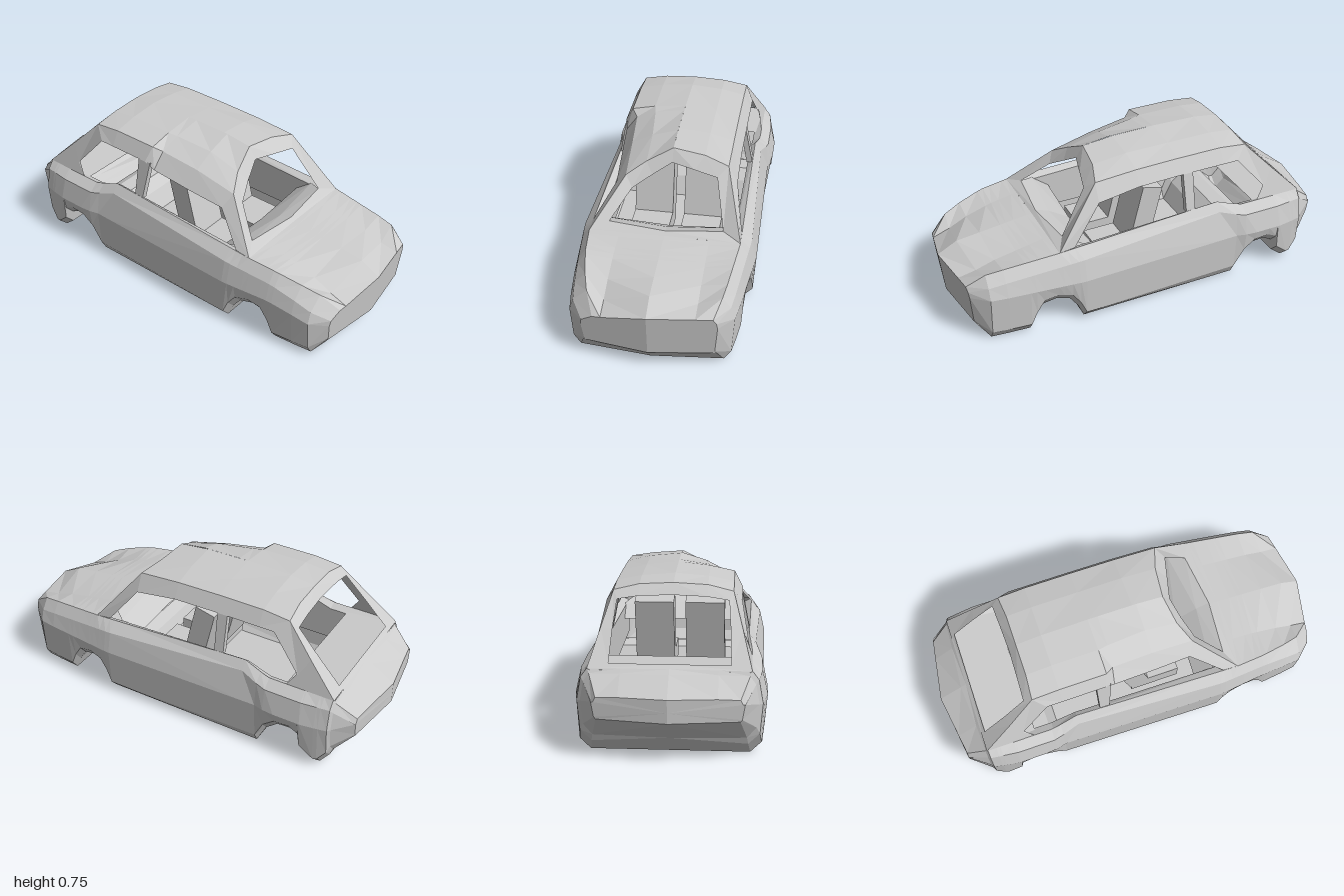
import * as THREE from 'three';

const material = new THREE.MeshStandardMaterial({ color: 0xcccccc, flatShading: true, side: THREE.DoubleSide });

// Piecewise linear curve through [x, value] knots
function curve(knots) {
  return (x) => {
    for (let i = 1; i < knots.length; i++) {
      const [x0, v0] = knots[i - 1], [x1, v1] = knots[i];
      if (x <= x1) return v0 + (v1 - v0) * Math.max(0, (x - x0) / (x1 - x0));
    }
    return knots[knots.length - 1][1];
  };
}

// Sheet of quads between rows of [x, y, z] points
function sheet(name, rows, flip = false) {
  const pos = [];
  for (let i = 0; i < rows.length - 1; i++) {
    for (let j = 0; j < rows[i].length - 1; j++) {
      const a = rows[i][j], b = rows[i + 1][j], c = rows[i + 1][j + 1], d = rows[i][j + 1];
      if (flip) pos.push(...a, ...c, ...b, ...a, ...d, ...c);
      else pos.push(...a, ...b, ...c, ...a, ...c, ...d);
    }
  }
  const geo = new THREE.BufferGeometry();
  geo.setAttribute('position', new THREE.Float32BufferAttribute(pos, 3));
  geo.computeVertexNormals();
  const mesh = new THREE.Mesh(geo, material);
  mesh.name = name;
  return mesh;
}

// Long curves of the lower body: heights and half widths along x
const bottomY = curve([[-1, 0.2], [-0.88, 0.09], [-0.8, 0], [-0.78, 0], [-0.71, 0.06], [-0.7, 0.13], [-0.65, 0.155],
  [-0.57, 0.15], [-0.51, 0.1], [-0.46, 0], [0.39, 0], [0.42, 0.07], [0.46, 0.125], [0.53, 0.145], [0.6, 0.13], [0.64, 0.07],
  [0.67, 0], [0.9, 0], [1, 0.09]]);
const bottomZ = curve([[-1, 0.32], [-0.88, 0.35], [-0.7, 0.385], [0.4, 0.385], [0.9, 0.345], [1, 0.315]]);
const sideZ = curve([[-1, 0.34], [-0.85, 0.42], [-0.72, 0.443], [-0.53, 0.443], [-0.46, 0.425], [0.4, 0.443], [0.9, 0.39], [1, 0.32]]);
const shoulderY = curve([[-1, 0.27], [-0.85, 0.36], [-0.5, 0.36], [-0.37, 0.4], [0.4, 0.36], [0.9, 0.31], [1, 0.28]]);
const shoulderZ = curve([[-1, 0.335], [-0.85, 0.4], [-0.7, 0.418], [-0.5, 0.418], [-0.37, 0.388], [0.4, 0.418], [0.9, 0.37], [1, 0.315]]);
const beltY = curve([[-1, 0.3], [-0.85, 0.4], [-0.5, 0.4], [-0.37, 0.445], [0.5, 0.405], [0.9, 0.365], [1, 0.305]]);
const beltZ = curve([[-1, 0.32], [-0.85, 0.37], [-0.5, 0.37], [-0.37, 0.355], [0.5, 0.37], [0.9, 0.33], [1, 0.3]]);
const innerY = curve([[-1, 0.307], [-0.85, 0.403], [0.5, 0.407], [0.78, 0.355], [0.9, 0.325], [1, 0.307]]);
const centreY = curve([[-1, 0.31], [-0.85, 0.405], [0.5, 0.41], [0.9, 0.362], [1, 0.31]]);
const endBend = curve([[0.84, 0], [0.9, 0.035], [1, 0.047]]);
const stations = [-1, -0.88, -0.85, -0.8, -0.78, -0.71, -0.7, -0.65, -0.57, -0.51, -0.46, -0.37,
  0.39, 0.42, 0.46, 0.5, 0.53, 0.6, 0.64, 0.67, 0.78, 0.9, 1];

// Half section of the lower body at x, from bottom centre to belt to top centre
function section(x, s) {
  const yb = bottomY(x);
  const dent = s > 0 ? Math.max(0, (x - 0.65) / 0.35) : 0; // sunken left front corner
  const pts = [
    [yb, 0], [yb, bottomZ(x)],
    [yb + (Math.abs(x) === 1 ? 0.01 : 0.05), sideZ(x) - 0.012],
    [Math.max(yb + 0.08, 0.25) - 0.06 * dent, sideZ(x)],
    [shoulderY(x) - 0.06 * dent, shoulderZ(x)],
    [beltY(x) - 0.05 * dent, beltZ(x) - 0.04 * dent],
    [innerY(x) - 0.048 * dent, 0.22],
    [centreY(x), 0],
  ];
  return pts.map(([y, z]) => {
    // Ends curve back towards the sides, and the nose leans back at its foot
    const lean = x === 1 ? Math.max(0, 0.31 - y) * 0.1 : 0;
    return [x - lean - Math.sign(x) * endBend(Math.abs(x)) * Math.min(1, z / 0.32), y, s * z];
  });
}

function lowerBody(s) {
  const g = new THREE.Group();
  g.name = s > 0 ? 'leftLowerBody' : 'rightLowerBody';
  const flip = s < 0;
  const rings = stations.map((x) => section(x, s));
  g.add(sheet('sideAndFloor', rings.map((r) => r.slice(0, 6)), flip));
  const pick = (test) => rings.filter((r, i) => test(stations[i])).map((r) => r.slice(5));
  g.add(sheet('bonnet', pick((x) => x >= 0.5), flip));
  g.add(sheet('tailDeck', pick((x) => x <= -0.85), flip));
  // End faces close the nose and tail
  for (const [name, x, y] of [['noseFace', 1, 0.2], ['tailFace', -1, 0.25]]) {
    const r = section(x, s);
    const centre = [x === 1 ? 0.989 : x, y, 0];
    g.add(sheet(name, [r, r.map(() => centre)], flip === (x > 0)));
  }
  return g;
}

// Roof, pillars and window frames of one side; the left front corner sags
function upperBody(s) {
  const g = new THREE.Group();
  g.name = s > 0 ? 'leftUpperBody' : 'rightUpperBody';
  const sag = s > 0;
  const side = (rows) => rows.map((row) => row.map(([x, y, z]) => [x, y, s * z]));
  const add = (name, rows, flip = false) => g.add(sheet(name, side(rows), flip !== (s < 0)));

  const roof = [
    [[-0.55, 0.73, 0], [-0.55, 0.722, 0.16], [-0.56, 0.695, 0.28], [-0.5, 0.635, 0.32]],
    [[-0.42, 0.748, 0], [-0.42, 0.735, 0.16], [-0.42, 0.71, 0.28], [-0.42, 0.635, 0.32]],
    [[-0.18, 0.753, 0], [-0.18, 0.735, 0.16], [-0.18, 0.71, 0.28], [-0.2, 0.635, 0.32]],
  ];
  if (sag) roof.push(
    [[-0.13, 0.753, 0], [-0.13, 0.73, 0.15], [-0.14, 0.685, 0.25], [-0.15, 0.6, 0.31]],
    [[0.07, 0.75, 0], [0.07, 0.71, 0.13], [0.07, 0.655, 0.235], [0.07, 0.565, 0.295]],
    [[0.21, 0.732, 0], [0.24, 0.662, 0.13], [0.29, 0.605, 0.225], [0.26, 0.54, 0.28]]);
  else roof.push(
    [[0.05, 0.75, 0], [0.05, 0.735, 0.16], [0.05, 0.705, 0.28], [0.05, 0.63, 0.32]],
    [[0.21, 0.732, 0], [0.23, 0.716, 0.16], [0.27, 0.69, 0.28], [0.27, 0.6, 0.325]]);
  add('roof', roof);

  // Windscreen frame: header, front pillar, cowl
  const front = roof[roof.length - 1];
  const inner = sag ? [0.32, 0.55, 0.19] : [0.31, 0.645, 0.23];
  const base = [0.45, 0.432, 0.28];
  const corner = [0.5, 0.405, 0.37];
  add('windscreenHeader', [
    [front[0], front[1], front[2]],
    [[0.25, 0.672, 0], [0.28, (0.672 + inner[1]) / 2, inner[2] / 2], inner],
  ]);
  add('frontPillar', [[front[2], inner], [corner, base]], true);
  add('frontPillarSide', [[front[3], front[2]], [[0.42, 0.412, 0.368], corner]], true);
  add('cowl', [[[0.48, 0.425, 0], base], [[0.5, 0.41, 0], corner]]);
  add('dashboard', [
    [[0.3, 0.33, 0], [0.28, 0.33, 0.335]],
    [[0.41, 0.4, 0], [0.37, 0.4, 0.335]],
    [[0.48, 0.425, 0], base],
  ]);

  // Rear quarter and tailgate frame around the openings
  const edge = [[-0.56, 0.695, 0.28], [-0.7, 0.55, 0.325], [-0.85, 0.4, 0.37]];
  const sideOpening = [[-0.5, 0.635, 0.32], [-0.65, 0.46, 0.355], [-0.6, 0.4, 0.37]];
  const hatchOpening = [[-0.6, 0.66, 0.26], [-0.71, 0.545, 0.27], [-0.83, 0.42, 0.275]];
  add('rearPillar', [edge, sideOpening]);
  add('tailgateFrame', [edge, hatchOpening], true);
  add('tailgateHeader', [roof[0].slice(0, 3), [[-0.59, 0.68, 0], [-0.595, 0.675, 0.16], hatchOpening[0]]], true);
  add('tailgateSill', [[[-0.83, 0.42, 0], hatchOpening[2]], [[-0.85, 0.405, 0], edge[2]]], true);

  // Middle pillar with some thickness
  const post = (x0, x1, y, z) => [[x0, y, z], [x1, y, z], [x1, y, z - 0.03], [x0, y, z - 0.03], [x0, y, z]];
  add('middlePillar', [post(-0.245, -0.195, 0.43, 0.357), post(-0.245, sag ? -0.17 : -0.19, 0.635, 0.316)]);

  // Inner sill and door lining
  const xs = [-0.85, -0.5, -0.37, 0.5];
  add('doorLining', [
    xs.map((x) => [x, beltY(x), beltZ(x)]),
    xs.map((x) => [x, beltY(x) - 0.02, 0.33]),
    xs.map((x) => [x, 0.2, 0.33]),
  ]);
  add('rearShelf', [[[-0.85, 0.395, 0], [-0.85, 0.395, 0.36]], [[-0.59, 0.385, 0], [-0.59, 0.385, 0.36]]]);
  return g;
}

function seat(s) {
  const g = new THREE.Group();
  g.name = s > 0 ? 'leftSeat' : 'rightSeat';
  const back = new THREE.Mesh(new THREE.BoxGeometry(0.11, 0.36, 0.2), material);
  back.name = 'seatBack';
  back.position.set(-0.025, 0.366, s * 0.13);
  back.rotation.z = 0.24;
  const cushion = new THREE.Mesh(new THREE.BoxGeometry(0.26, 0.1, 0.2), material);
  cushion.name = 'seatCushion';
  cushion.position.set(0.1, 0.19, s * 0.13);
  g.add(back, cushion);
  return g;
}

export function createModel() {
  const car = new THREE.Group();
  car.name = 'carBody';
  for (const s of [1, -1]) car.add(lowerBody(s), upperBody(s), seat(s));
  return car;
}
